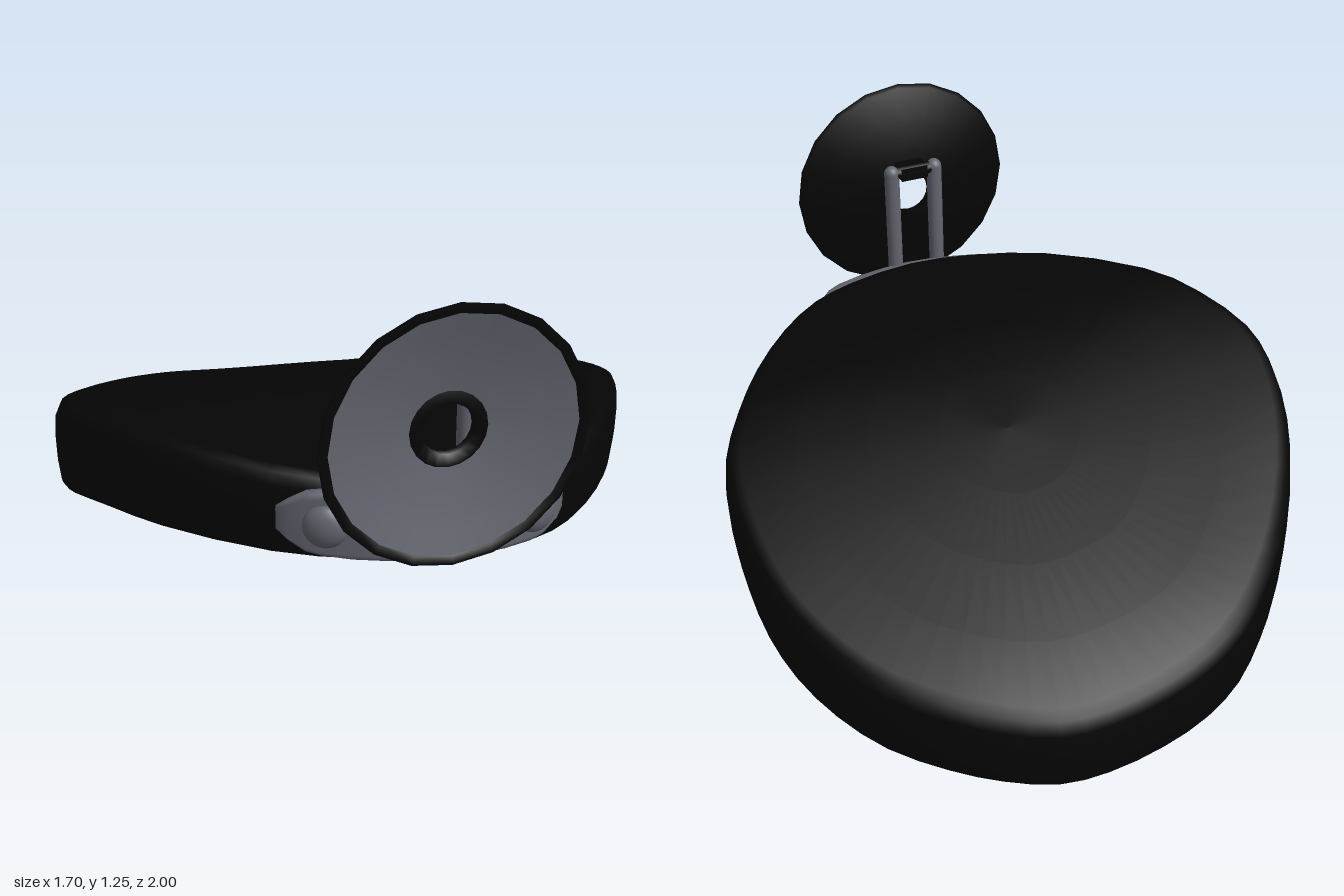
import * as THREE from 'three';

const black = new THREE.MeshStandardMaterial({ color: 0x050505 });
const metal = new THREE.MeshStandardMaterial({ color: 0x63656f });

const FACING = 0.612; // turn of the mirror about y
const SIN = Math.sin(FACING), COS = Math.cos(FACING);

function add(parent, name, geometry, material, x = 0, y = 0, z = 0) {
  const mesh = new THREE.Mesh(geometry, material);
  mesh.name = name;
  mesh.position.set(x, y, z);
  parent.add(mesh);
  return mesh;
}

// Skin over closed rings of [x, y, z] with equal point counts
function loft(rings) {
  const n = rings[0].length, index = [];
  for (let j = 0; j < rings.length - 1; j++) {
    for (let i = 0; i < n; i++) {
      const k = (i + 1) % n;
      const a = j * n + i, b = j * n + k, c = b + n, d = a + n;
      index.push(a, c, b, a, d, c);
    }
  }
  const geo = new THREE.BufferGeometry();
  geo.setAttribute('position', new THREE.Float32BufferAttribute(rings.flat(2), 3));
  geo.setIndex(index);
  geo.computeVertexNormals();
  return geo;
}

// Smooth interpolation through [x, y] pairs, flat beyond the ends
function smoothTable(table, x) {
  let i = 0;
  while (i < table.length - 2 && x > table[i + 1][0]) i++;
  const slope = (k) => {
    const a = table[Math.max(0, k - 1)], b = table[Math.min(table.length - 1, k + 1)];
    return (b[1] - a[1]) / (b[0] - a[0]);
  };
  const [x0, y0] = table[i], [x1, y1] = table[i + 1], w = x1 - x0;
  const t = Math.min(1, Math.max(0, (x - x0) / w)), s = 1 - t;
  return y0 * (1 + 2 * t) * s * s + slope(i) * w * t * s * s
    + y1 * t * t * (3 - 2 * t) - slope(i + 1) * w * t * t * s;
}

// Band outline in x, z and its upper and lower edge heights along the facing direction
const OUTLINE = new THREE.CatmullRomCurve3([
  [-0.02, -1], [0.16, -0.985], [0.32, -0.93], [0.46, -0.85], [0.57, -0.755], [0.67, -0.63],
  [0.745, -0.51], [0.795, -0.39], [0.82, -0.2], [0.828, -0.03], [0.81, 0.2], [0.76, 0.38],
  [0.67, 0.51], [0.5, 0.655], [0.3, 0.735], [0.05, 0.77], [-0.3, 0.715], [-0.5, 0.625],
  [-0.67, 0.51], [-0.755, 0.39], [-0.82, 0.21], [-0.85, 0], [-0.845, -0.22], [-0.82, -0.37],
  [-0.775, -0.52], [-0.7, -0.645], [-0.59, -0.765], [-0.45, -0.88], [-0.325, -0.95], [-0.17, -0.988],
].map(([x, z]) => new THREE.Vector3(x, 0, z)), true).getPoints(60).slice(0, 60);
const UPPER = [[-0.97, 0.25], [-0.8, 0.335], [-0.48, 0.455], [-0.2, 0.55], [0.1, 0.635], [0.35, 0.68], [0.8, 0.682]];
const LOWER = [[-0.97, -0.005], [-0.82, 0.055], [-0.5, 0.155], [-0.25, 0.245], [0.05, 0.355], [0.3, 0.405], [0.75, 0.445]];

function bandGeometry() {
  // [scale, height fraction]: underside, wall, top
  const profile = [
    [0, 0], [0.3, 0], [0.6, 0], [0.8, 0], [0.92, 0], [0.972, 0.012], [0.99, 0.1], [0.998, 0.33],
    [1, 0.62], [0.994, 0.84], [0.976, 0.97], [0.94, 1], [0.75, 1], [0.5, 1], [0.25, 1], [0, 1],
  ];
  return loft(profile.map(([s, t]) => OUTLINE.map((o) => {
    const x = o.x * s, z = -0.1 + (o.z + 0.1) * s;
    const u = x * SIN + z * COS, v = x * COS - z * SIN;
    const lo = smoothTable(LOWER, u) - 0.045 * v, hi = smoothTable(UPPER, u) - 0.06 * v;
    return [x, lo + (hi - lo) * t, z];
  })));
}

// Path of the bracket plate round the front of the band
const platePath = new THREE.CatmullRomCurve3(
  [[0.07, 0.765], [0.3, 0.732], [0.5, 0.652], [0.67, 0.505], [0.755, 0.385]].map(([x, z]) => new THREE.Vector3(x, 0, z)));

function plateFrame(t) {
  const p = platePath.getPointAt(t), d = platePath.getTangentAt(t);
  return { p, nx: -d.z, nz: d.x, y: 0.577 - 0.025 * t };
}

function plateGeometry() {
  const section = [[-0.02, -1], [0.008, -1], [0.02, -0.94], [0.027, -0.8], [0.027, 0.8], [0.02, 0.94], [0.008, 1], [-0.02, 1]];
  // [position along the path, half height, thickness factor]
  const stations = [
    [0, 0, 0], [0, 0.035, 0.4], [0.04, 0.06, 0.9], [0.1, 0.09, 1], [0.15, 0.097, 1], [0.25, 0.1, 1], [0.35, 0.1, 1],
    [0.45, 0.1, 1], [0.55, 0.1, 1], [0.65, 0.1, 1], [0.75, 0.1, 1], [0.85, 0.097, 1], [0.9, 0.09, 1],
    [0.96, 0.06, 0.9], [1, 0.035, 0.4], [1, 0, 0],
  ];
  return loft(stations.map(([t, h, k]) => {
    const { p, nx, nz, y } = plateFrame(t);
    return section.map(([o, f]) => [p.x + nx * o * k, y + f * h, p.z + nz * o * k]);
  }));
}

// Turned shape whose axis points along z
function lathe(points) {
  const geo = new THREE.LatheGeometry(points.map(([r, y]) => new THREE.Vector2(r, y)), 20);
  return geo.rotateX(Math.PI / 2);
}

export function createModel() {
  const model = new THREE.Group();
  model.name = 'headMirror';

  add(model, 'headBand', bandGeometry(), black);
  add(model, 'bracketPlate', plateGeometry(), metal);

  // Domed rivets at the plate ends
  for (const t of [0.165, 0.86]) {
    const { p, nx, nz, y } = plateFrame(t);
    const rivet = add(model, 'rivet', new THREE.SphereGeometry(0.062, 20, 12), metal,
      p.x + nx * 0.025, y, p.z + nz * 0.025);
    rivet.rotation.y = Math.atan2(nx, nz);
    rivet.scale.z = 0.55;
  }

  // Mirror and its stand, turned to the facing direction
  const mirror = new THREE.Group();
  mirror.name = 'mirror';
  mirror.position.set(0.553, 0.889, 0.79);
  mirror.rotation.y = FACING;
  model.add(mirror);

  add(mirror, 'mirrorShell', lathe([
    [0.07, -0.075], [0.15, -0.068], [0.25, -0.045], [0.35, -0.01], [0.361, 0], [0.354, 0.006],
    [0.333, 0], [0.333, -0.008], [0.24, -0.035], [0.105, -0.06], [0.105, -0.05], [0.07, -0.052], [0.07, -0.075],
  ]), black);
  add(mirror, 'mirrorFace', lathe([[0.336, -0.002], [0.28, -0.017], [0.2, -0.038], [0.1, -0.055]]), metal);

  // Two upright rods with a foot bar and a hinge block at the top
  for (const side of [-1, 1]) {
    add(mirror, 'rod', new THREE.CapsuleGeometry(0.025, 0.45, 6, 12), metal, side * 0.074, -0.118, -0.118);
    add(mirror, 'rodFoot', new THREE.BoxGeometry(0.06, 0.05, 0.06), metal, side * 0.074, -0.345, -0.125);
  }
  const bar = new THREE.CylinderGeometry(0.02, 0.02, 0.148, 12).rotateZ(Math.PI / 2);
  add(mirror, 'footBar', bar, metal, 0, -0.345, -0.125);
  add(mirror, 'hingePin', bar, black, 0, 0.105, -0.118);
  add(mirror, 'hingeBlock', new THREE.BoxGeometry(0.09, 0.04, 0.075), black, 0, 0.1, -0.1);

  return model;
}
